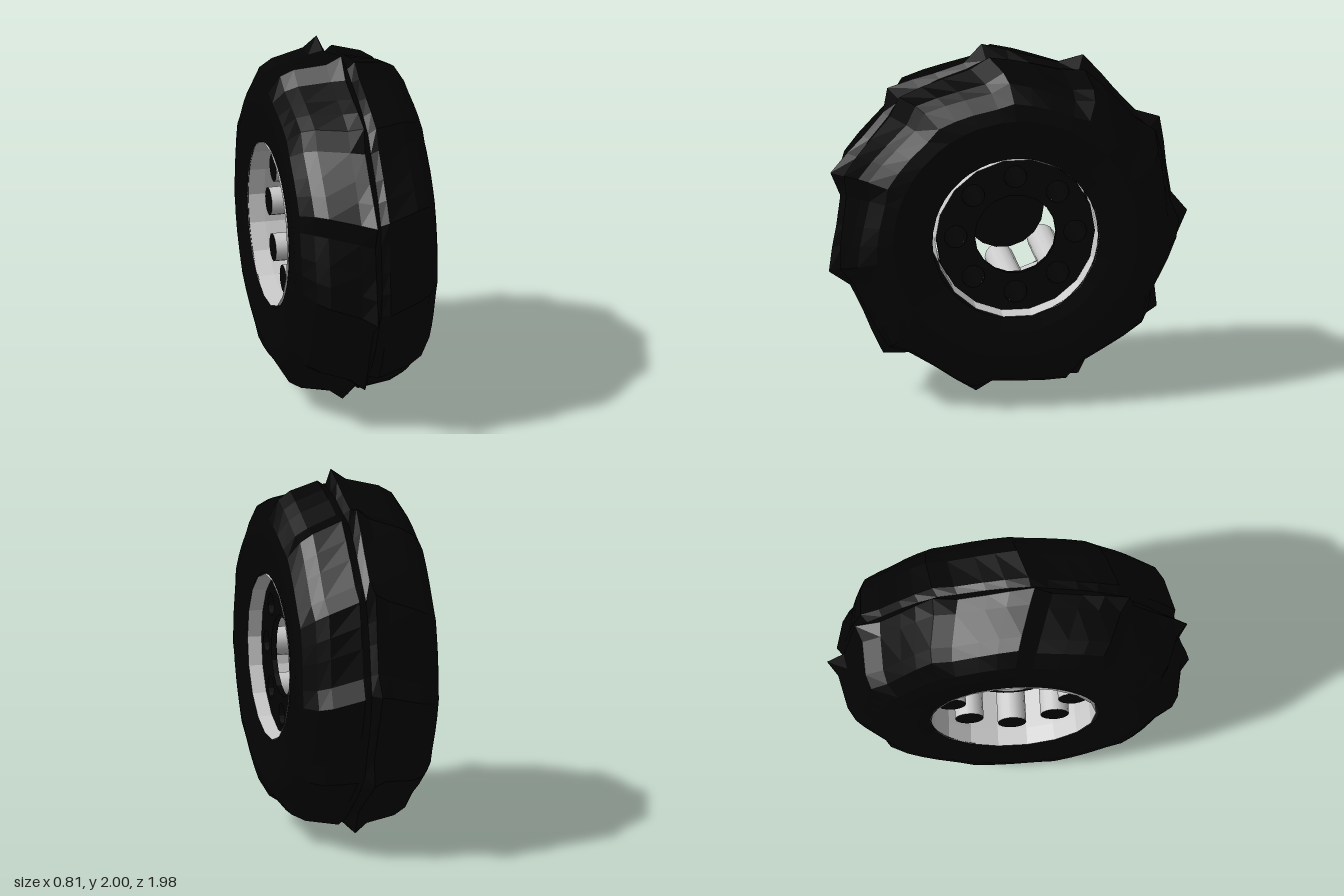
import * as THREE from 'three';

const rubber = new THREE.MeshStandardMaterial({ color: 0x030303, flatShading: true, side: THREE.DoubleSide });
const black = new THREE.MeshStandardMaterial({ color: 0x030303, side: THREE.DoubleSide });
const grey = new THREE.MeshStandardMaterial({ color: 0xcccccc });
const greyFlat = new THREE.MeshStandardMaterial({ color: 0xcccccc, flatShading: true, side: THREE.DoubleSide });

function add(parent, name, geometry, material) {
  const mesh = new THREE.Mesh(geometry, material);
  mesh.name = name;
  parent.add(mesh);
  return mesh;
}

// Tyre: a cross-section swept round the axle, raised into swept sawtooth lugs
function tyreGeometry() {
  // x, radius at the lug crest, lug height
  const side = [[0.38, 0.458, 0], [0.395, 0.54, 0], [0.403, 0.68, 0], [0.382, 0.775, 0.02],
    [0.32, 0.875, 0.045], [0.25, 0.915, 0.05], [0.08, 0.953, 0.045]];
  const profile = [...side, [0.035, 0.92, 0.02], [-0.003, 1.01, 0.085],
    ...side.map(([x, r, h]) => [-x, r, h]).reverse()];
  // phase within one lug, height fraction
  const saw = [[0, 1], [0.24, 0.46], [0.47, 0.08], [0.79, 0]];
  const lugs = 11, columns = lugs * saw.length, rows = profile.length;
  const positions = [], index = [];
  for (let j = 0; j < columns; j++) {
    const [phase, height] = saw[j % saw.length];
    const turn = (Math.floor(j / saw.length) + phase) / lugs * Math.PI * 2;
    for (const [x, crest, lug] of profile) {
      const sweep = THREE.MathUtils.degToRad(82.6 + 7 * Math.abs(x) / 0.38);
      const r = crest - lug * (1 - height);
      positions.push(x, r * Math.sin(turn + sweep), r * Math.cos(turn + sweep));
    }
    for (let i = 0; i < rows - 1; i++) {
      const a = j * rows + i, b = ((j + 1) % columns) * rows + i;
      index.push(a, b, a + 1, b, b + 1, a + 1);
    }
  }
  const geometry = new THREE.BufferGeometry();
  geometry.setAttribute('position', new THREE.Float32BufferAttribute(positions, 3));
  geometry.setIndex(index);
  geometry.computeVertexNormals();
  return geometry;
}

// Cylinder lying along x between two positions
function axleCylinder(r, x0, x1, sides, open) {
  return new THREE.CylinderGeometry(r, r, x1 - x0, sides, 1, open)
    .rotateZ(-Math.PI / 2).translate((x0 + x1) / 2, 0, 0);
}

// Faceted ring round the axle from [radius, x] pairs
function axleLathe(points) {
  return new THREE.LatheGeometry(points.map(([r, x]) => new THREE.Vector2(r, x)), 18).rotateZ(-Math.PI / 2);
}

export function createModel() {
  const model = new THREE.Group();
  model.name = 'wheel';
  const wheel = new THREE.Group();
  wheel.name = 'wheelAssembly';
  wheel.position.y = 1;
  model.add(wheel);

  add(wheel, 'tyre', tyreGeometry(), rubber).position.z = 0.012;

  // Two rim halves with an open band between them
  add(wheel, 'outerRim', axleLathe([[0.456, 0.385], [0.45, 0.29], [0.45, 0.09]]), greyFlat);
  add(wheel, 'innerRim', axleLathe([[0.456, -0.385], [0.45, -0.29], [0.45, -0.03]]), greyFlat);

  // Face disc with a centre bore and eight round holes
  const count = 8, ring = 0.33, discX = 0.28;
  const disc = new THREE.Shape().absarc(0, 0, 0.44, 0, Math.PI * 2);
  disc.holes.push(new THREE.Path().absarc(0, 0, 0.225, 0, Math.PI * 2, true));
  for (let i = 0; i < count; i++) {
    const a = i / count * Math.PI * 2;
    disc.holes.push(new THREE.Path().absarc(ring * Math.cos(a), ring * Math.sin(a), 0.063, 0, Math.PI * 2, true));
  }
  const discGeometry = new THREE.ExtrudeGeometry(disc, { depth: 0.03, bevelEnabled: false, curveSegments: 9 });
  add(wheel, 'faceDisc', discGeometry.rotateY(Math.PI / 2).translate(discX, 0, 0), black);

  // Tubes running back from the holes
  for (let i = 0; i < count; i++) {
    const a = i / count * Math.PI * 2;
    const tube = new THREE.Group();
    tube.name = 'tube' + (i + 1);
    tube.position.set(0, ring * Math.sin(a), ring * Math.cos(a));
    add(tube, 'tubeWall', axleCylinder(0.078, -0.295, discX, 14, true), grey);
    add(tube, 'tubeLining', axleCylinder(0.064, -0.285, discX, 14, true), black);
    add(tube, 'tubeEnd', new THREE.CircleGeometry(0.078, 14).rotateY(-Math.PI / 2).translate(-0.295, 0, 0), black);
    add(tube, 'tubeFloor', new THREE.CircleGeometry(0.064, 14).rotateY(Math.PI / 2).translate(-0.28, 0, 0), grey);
    wheel.add(tube);
  }

  // Hub plate and its boss on the back
  add(wheel, 'hubPlate', axleCylinder(0.225, -0.16, -0.14, 18, false), black);
  add(wheel, 'hubBoss', axleCylinder(0.125, -0.19, -0.16, 18, false), grey);
  return model;
}
